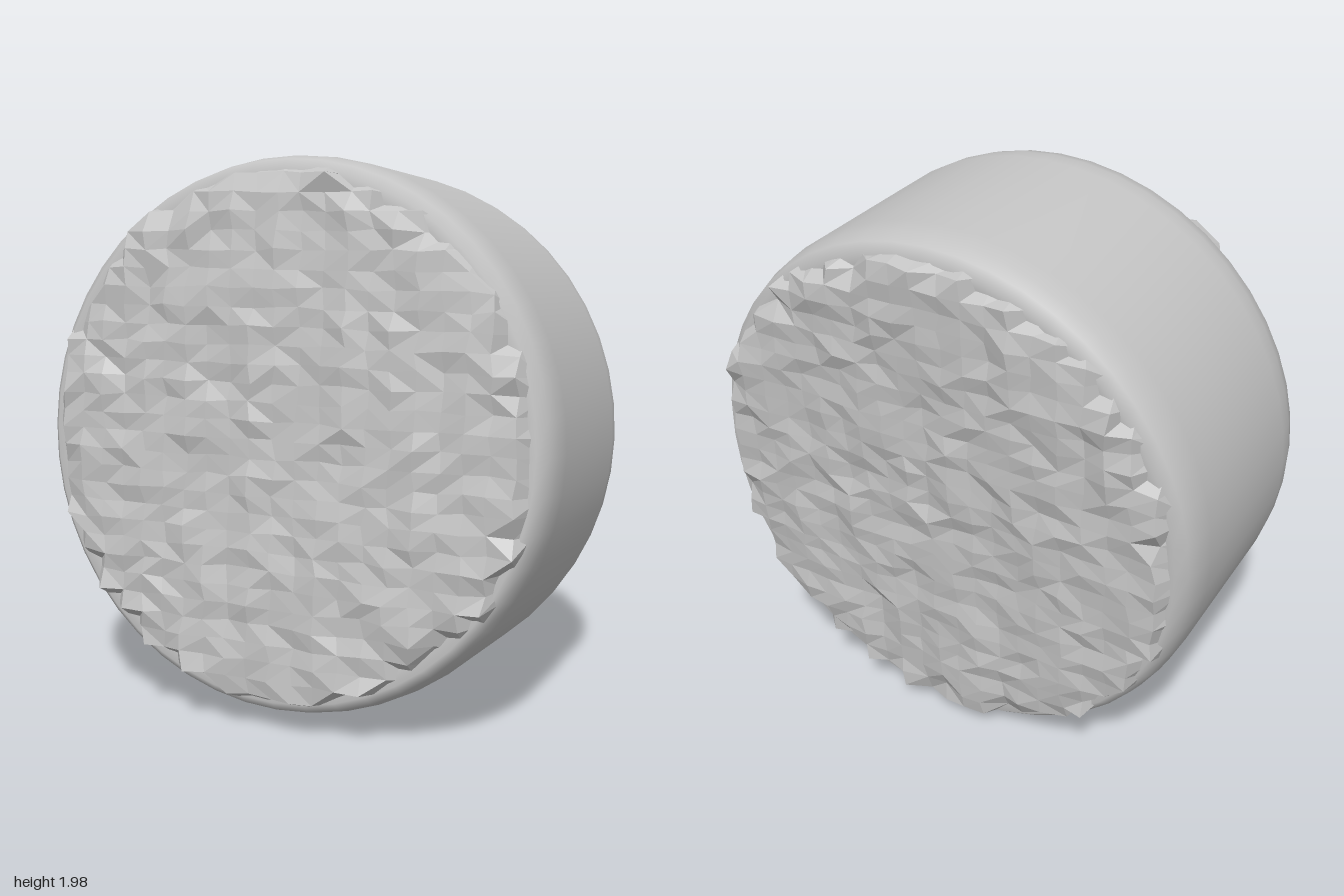
import * as THREE from 'three';

const RADIUS = 0.96, FRONT = 0.495, BACK = 0.53;

// Repeatable noise in the range -1..1
function noise(i, j, seed) {
  const s = Math.sin(i * 127.1 + j * 311.7 + seed * 74.7) * 43758.5453;
  return 2 * (s - Math.floor(s)) - 1;
}

// Rough broken end: a jittered height grid gathered in at the rim
function roughEnd(side, depth, seed) {
  const dx = 0.085, dy = 0.064, rim = 0.925, nx = 12, ny = 16;
  const pos = [], index = [], outside = [];
  for (let j = -ny; j <= ny; j++) {
    for (let i = -nx; i <= nx; i++) {
      let x = i * dx + noise(i, j, seed) * 0.01;
      let y = j * dy + noise(i, j, seed + 1) * 0.006;
      const r = Math.hypot(x, y);
      const grain = noise(i, Math.floor((j + i) / 4), seed + 2) * 0.01;
      let h = depth + grain + noise(i, j, seed + 3) * 0.01;
      if (r > rim) {
        // Outermost ring is sunk into the shoulder
        h = depth - 0.1 + noise(i, j, seed + 4) * 0.015;
        const k = (rim + noise(i, j, seed + 5) * 0.01) / r;
        x *= k;
        y *= k;
      } else if (r > 0.86) {
        // Spiky edge
        h += noise(i, j, seed + 4) * 0.02 - 0.012;
      }
      outside.push(r > rim);
      pos.push(x, y, side * h);
    }
  }
  const w = 2 * nx + 1;
  const tri = (a, b, c) => {
    if (outside[a] && outside[b] && outside[c]) return;
    if (side > 0) index.push(a, b, c);
    else index.push(a, c, b);
  };
  for (let j = 0; j < 2 * ny; j++) {
    for (let i = 0; i < w - 1; i++) {
      const a = j * w + i, b = a + 1, c = b + w, d = a + w;
      // Alternate the diagonals irregularly
      if (noise(i, j, seed + 6) > 0) {
        tri(a, b, c);
        tri(a, c, d);
      } else {
        tri(a, b, d);
        tri(b, c, d);
      }
    }
  }
  const grid = new THREE.BufferGeometry();
  grid.setAttribute('position', new THREE.Float32BufferAttribute(pos, 3));
  grid.setIndex(index);
  const flat = grid.toNonIndexed();
  flat.computeVertexNormals();
  return flat;
}

export function createModel() {
  const model = new THREE.Group();
  model.name = 'roughDrum';
  const stone = new THREE.MeshStandardMaterial({ color: 0xc4c4c4 });
  stone.name = 'grey stone';

  // Smooth, slightly oval barrel with softened shoulders, tucked under the rough ends
  const shoulder = [[RADIUS, 0.2], [0.953, 0.13], [0.938, 0.075], [0.905, 0.04], [0.84, 0.055]];
  const profile = [
    ...shoulder.map(([r, d]) => new THREE.Vector2(r, d - BACK)).reverse(),
    ...shoulder.map(([r, d]) => new THREE.Vector2(r, FRONT - d)),
  ];
  const barrel = new THREE.Mesh(new THREE.LatheGeometry(profile, 48), stone);
  barrel.geometry.rotateX(Math.PI / 2);
  barrel.geometry.scale(1, 1.01, 1);
  barrel.name = 'barrel';

  const frontEnd = new THREE.Mesh(roughEnd(1, FRONT, 3), stone);
  frontEnd.name = 'frontEnd';
  const backEnd = new THREE.Mesh(roughEnd(-1, BACK, 17), stone);
  backEnd.name = 'backEnd';

  // Tilt the whole drum about its middle
  const drum = new THREE.Group();
  drum.name = 'tiltedDrum';
  drum.add(barrel, frontEnd, backEnd);
  const axis = new THREE.Vector3(-0.185, 0.075, 1).normalize();
  drum.quaternion.setFromUnitVectors(new THREE.Vector3(0, 0, 1), axis);
  drum.position.set(0, 0.996, 0);
  model.add(drum);
  return model;
}
